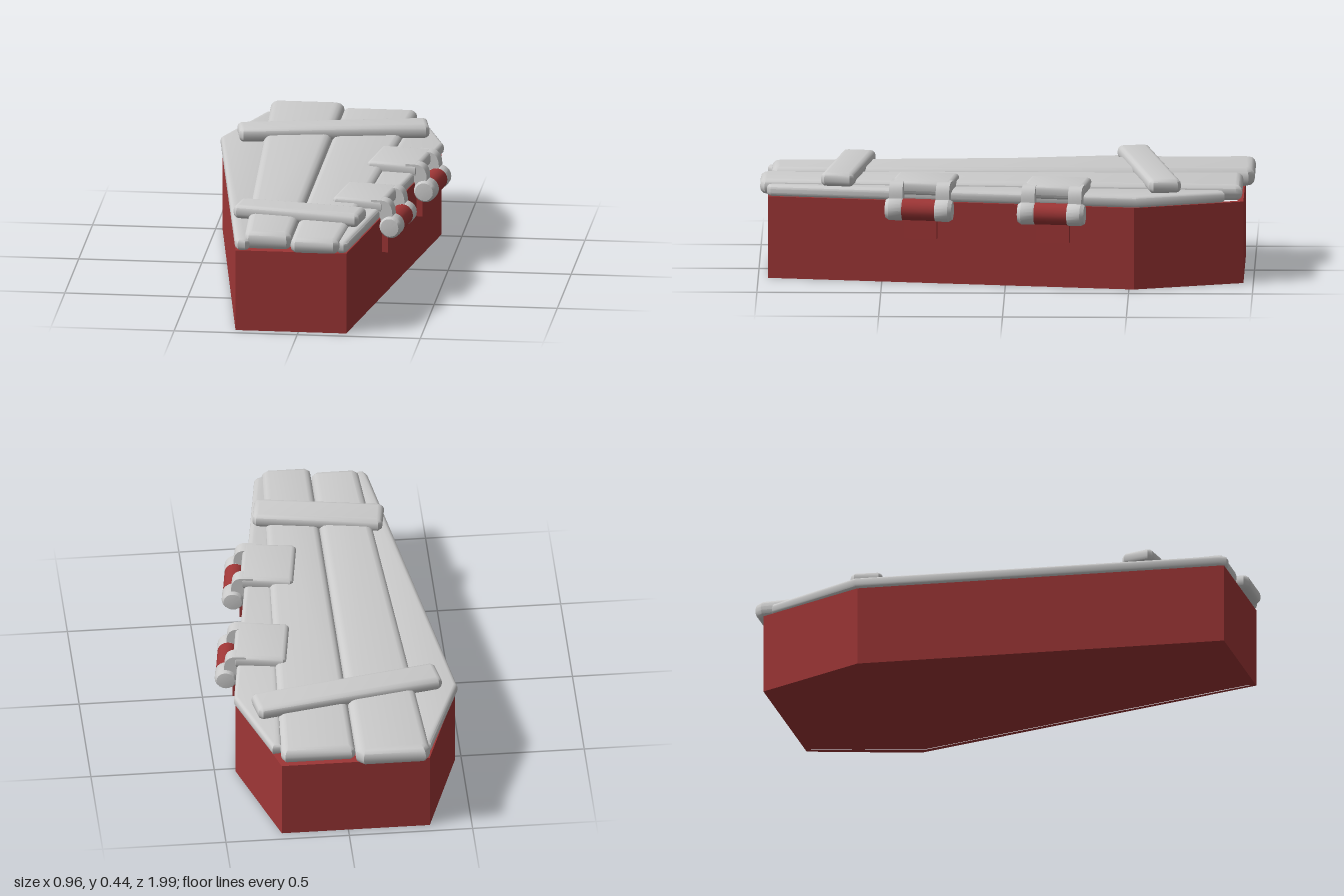
import * as THREE from 'three';
import { toCreasedNormals } from 'three/addons/utils/BufferGeometryUtils.js';

const CX = -0.03; // centre line of the box
const grey = new THREE.MeshStandardMaterial({ color: 0xcccccc });
const red = new THREE.MeshStandardMaterial({ color: 0x9e3636 });

function add(parent, name, geometry, material) {
  const mesh = new THREE.Mesh(geometry, material);
  mesh.name = name;
  parent.add(mesh);
  return mesh;
}

// Plan outline given as [x, z] pairs
const plan = (pts) => new THREE.Shape(pts.map(([x, z]) => new THREE.Vector2(x, -z)));

// Upright extrusion of a plan outline from y0 to y1 with rounded edges
function slab(shape, y0, y1, bevel = 0) {
  const g = new THREE.ExtrudeGeometry(shape, {
    depth: y1 - y0 - 2 * bevel,
    bevelEnabled: bevel > 0,
    bevelThickness: bevel,
    bevelSize: bevel,
    bevelOffset: -bevel,
    bevelSegments: 3,
  });
  g.rotateX(-Math.PI / 2).translate(0, y0 + bevel, 0);
  return bevel > 0 ? toCreasedNormals(g, 0.65) : g;
}

// Rectangle centred on the origin with clipped corners
function clippedRect(w, d, c) {
  const x = w / 2, z = d / 2;
  return plan([[-x + c, -z], [x - c, -z], [x, -z + c], [x, z - c],
    [x - c, z], [-x + c, z], [-x, z - c], [-x, -z + c]]);
}

function buildBody(root) {
  const outline = (s) => [[-0.3, -0.96], [0.3, -0.96], [0.445, -0.52],
    [0.225, 0.96], [-0.225, 0.96], [-0.445, -0.52]].map(([x, z]) => [CX + x * s, z * (1 - (1 - s) / 2)]);
  const walls = plan(outline(1));
  walls.holes.push(plan(outline(0.95)));
  add(root, 'walls', slab(walls, 0, 0.335), red);
  add(root, 'floor', slab(plan(outline(0.96)), 0.004, 0.03), red);
}

function buildLid(root) {
  const lid = new THREE.Group();
  lid.name = 'lid';
  root.add(lid);

  // Angled boards along both sides
  add(lid, 'rightSideBoard', slab(plan([[-0.34, -0.92], [-0.3, -0.93], [-0.2, 0.95],
    [-0.215, 0.968], [-0.245, 0.968], [-0.26, 0.94], [-0.483, -0.53]]), 0.335, 0.382, 0.016), grey);
  add(lid, 'leftSideBoard', slab(plan([[0.26, -0.88], [0.3, -0.885], [0.423, -0.53],
    [0.2, 0.95], [0.185, 0.965], [0.16, 0.965], [0.15, 0.94]]), 0.335, 0.382, 0.016), grey);

  // Two long tapering planks in the middle
  add(lid, 'rightPlank', slab(plan([[-0.31, -1], [-0.06, -1], [-0.03, -0.975], [-0.03, 0.93],
    [-0.05, 0.95], [-0.205, 0.95], [-0.222, 0.93], [-0.33, -0.97]]), 0.335, 0.41, 0.03), grey);
  add(lid, 'leftPlank', slab(plan([[-0.015, -0.955], [0.255, -0.955], [0.27, -0.93], [0.167, 0.975],
    [0.145, 0.993], [-0.012, 0.993], [-0.03, 0.975], [-0.03, -0.94]]), 0.335, 0.4, 0.028), grey);

  // Crooked battens nailed across
  const battens = [['headBatten', 0.77, 0.13, -0.575, 0.19], ['footBatten', 0.525, 0.135, 0.64, -0.16]];
  for (const [name, w, d, z, turn] of battens) {
    const b = add(lid, name, slab(clippedRect(w, d, 0.015), 0.38, 0.438, 0.022), grey);
    b.position.set(CX, 0, z);
    b.rotation.y = turn;
  }
}

// Hinge in its own frame: +x points out of the wall, z runs along it
function buildHinge() {
  const hinge = new THREE.Group();
  hinge.name = 'hinge';

  const plate = add(hinge, 'hingePlate', slab(clippedRect(0.215, 0.25, 0.012), 0.362, 0.42, 0.018), grey);
  plate.position.x = -0.085;

  // Curved arms joining the plate to the knuckles
  const profile = new THREE.Shape();
  profile.moveTo(-0.03, 0.419);
  profile.lineTo(-0.03, 0.372);
  profile.quadraticCurveTo(0.012, 0.372, 0.012, 0.31);
  profile.lineTo(0.058, 0.31);
  profile.lineTo(0.058, 0.365);
  profile.quadraticCurveTo(0.056, 0.419, 0.01, 0.419);
  const armGeo = toCreasedNormals(new THREE.ExtrudeGeometry(profile,
    { depth: 0.055, bevelEnabled: false, curveSegments: 6 }), 0.6);

  // Chamfered knuckle, outer end towards +z before mirroring
  const knuckleGeo = new THREE.LatheGeometry([[0, 0], [0.043, 0], [0.046, 0.006], [0.046, 0.055],
    [0.037, 0.07], [0, 0.074]].map(([r, y]) => new THREE.Vector2(r, y)), 20);
  const knuckle = toCreasedNormals(knuckleGeo.rotateX(Math.PI / 2), 0.5);
  for (const s of [1, -1]) {
    const arm = add(hinge, 'hingeArm', armGeo, grey);
    arm.position.z = s > 0 ? 0.068 : -0.123;
    const k = add(hinge, 'hingeKnuckle', knuckle, grey);
    k.position.set(0.05, 0.31, s * 0.066);
    if (s < 0) k.rotation.y = Math.PI;
  }

  // Lower leaf fixed to the box
  const barrel = add(hinge, 'hingeBarrel', new THREE.CylinderGeometry(0.044, 0.044, 0.134, 20), red);
  barrel.rotation.x = Math.PI / 2;
  barrel.position.set(0.05, 0.31, 0);
  add(hinge, 'hingeStrap', new THREE.BoxGeometry(0.034, 0.135, 0.134), red).position.set(0.009, 0.254, 0);
  return hinge;
}

export function createModel() {
  const root = new THREE.Group();
  root.name = 'coffin';
  buildBody(root);
  buildLid(root);

  // Hinges sit on the model's left wall, which slants inwards to the front
  for (const z of [-0.195, 0.34]) {
    const hinge = buildHinge();
    hinge.position.set(0.415 - 0.1486 * (z + 0.52), 0, z);
    hinge.rotation.y = -0.1476;
    root.add(hinge);
  }
  return root;
}
